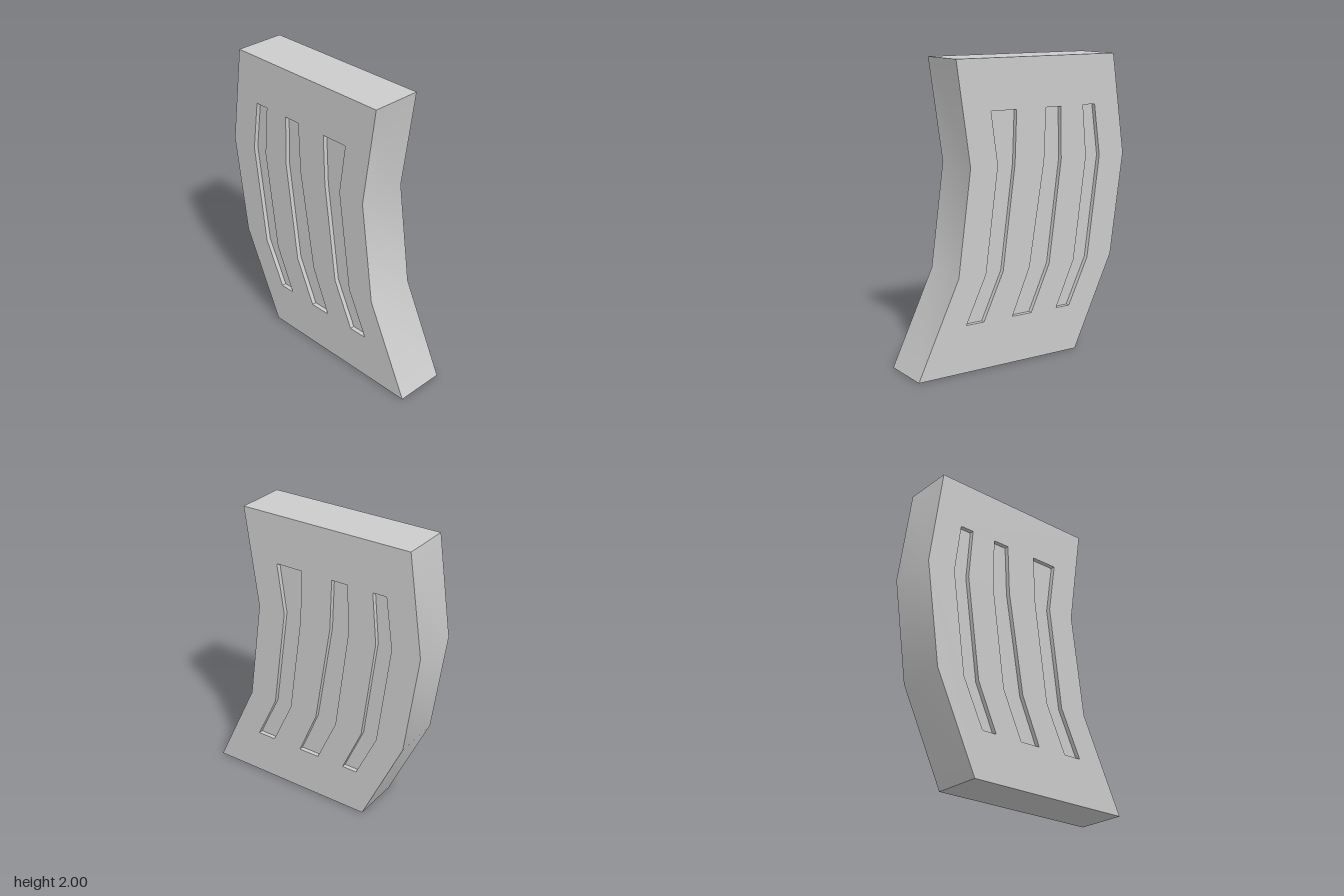
import * as THREE from 'three';
import { mergeGeometries, toCreasedNormals } from 'three/addons/utils/BufferGeometryUtils.js';

const HALF = 0.172;   // half of the slab thickness
const DEPTH = 0.03;   // depth of each groove

// Counter-clockwise outline from left and right x positions at the given heights
function outline(heights, left, right) {
  return [
    ...heights.map((y, i) => new THREE.Vector2(right[i], y)),
    ...heights.map((y, i) => new THREE.Vector2(left[i], y)).reverse(),
  ];
}

// Wall strip around a closed outline, between two depths
function wall(points, z0, z1) {
  const pos = [];
  points.forEach((a, i) => {
    const b = points[(i + 1) % points.length];
    pos.push(a.x, a.y, z0, b.x, b.y, z0, b.x, b.y, z1);
    pos.push(a.x, a.y, z0, b.x, b.y, z1, a.x, a.y, z1);
  });
  const geo = new THREE.BufferGeometry();
  geo.setAttribute('position', new THREE.Float32BufferAttribute(pos, 3));
  return toCreasedNormals(geo, 0.6);
}

// Flat face at depth z, facing +z or -z
function face(points, holes, z, dir) {
  const shape = new THREE.Shape(points);
  shape.holes = holes.map((h) => new THREE.Path(h));
  const geo = new THREE.ShapeGeometry(shape);
  if (dir < 0) geo.setIndex(Array.from(geo.index.array).reverse());
  const flat = geo.toNonIndexed();
  flat.deleteAttribute('uv');
  flat.translate(0, 0, z);
  flat.computeVertexNormals();
  return flat;
}

export function createModel() {
  const group = new THREE.Group();
  group.name = 'groovedPanel';
  const material = new THREE.MeshStandardMaterial({ color: 0xcccccc });
  const add = (name, parts) => {
    const mesh = new THREE.Mesh(mergeGeometries(parts), material);
    mesh.name = name;
    group.add(mesh);
  };

  const body = outline(
    [0, 0.63, 1.325, 2],
    [-0.415, -0.71, -0.805, -0.708],
    [0.803, 0.505, 0.412, 0.51],
  );

  // Three bent grooves, widening towards the left
  const rows = [0.315, 0.63, 1.325, 1.67];
  const grooves = [
    outline(rows, [-0.36, -0.51, -0.602, -0.555], [-0.253, -0.395, -0.488, -0.458]),
    outline(rows, [-0.05, -0.193, -0.285, -0.277], [0.1, -0.035, -0.147, -0.16]),
    outline(rows, [0.32, 0.172, 0.08, 0.068], [0.452, 0.302, 0.21, 0.26]),
  ];

  // Slab: outer rim plus pierced front and back faces
  add('slab', [
    wall(body, -HALF, HALF),
    face(body, grooves, HALF, 1),
    face(body, grooves, -HALF, -1),
  ]);

  // Grooves sunk into both faces
  for (const [side, dir] of [['front', 1], ['back', -1]]) {
    const floor = dir * (HALF - DEPTH);
    const zs = [floor, dir * HALF].sort((a, b) => a - b);
    grooves.forEach((g, i) => add(`${side}Groove${i + 1}`, [
      wall([...g].reverse(), zs[0], zs[1]),
      face(g, [], floor, dir),
    ]));
  }
  return group;
}
